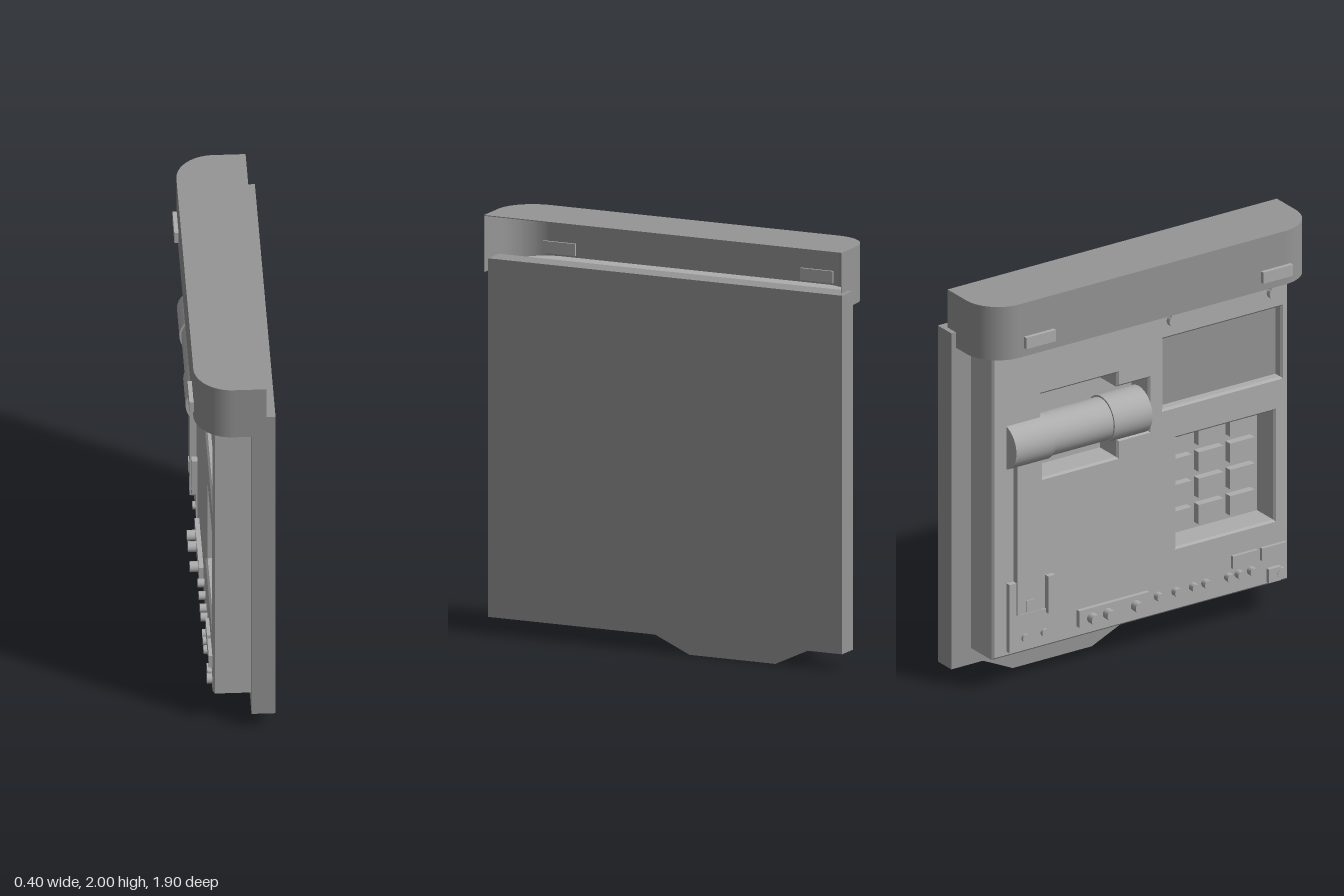
import * as THREE from 'three';

const material = (color) => new THREE.MeshStandardMaterial({ color, side: THREE.DoubleSide });
const light = material(0xadadad);
const dark = material(0x959595);

export function createModel() {
  const root = new THREE.Group();

  const add = (name, geo, x = 0, y = 0, z = 0, mat = light) => {
    const m = new THREE.Mesh(geo, mat);
    m.name = name;
    m.position.set(x, y, z);
    root.add(m);
  };
  // Box given by its limits on each axis
  const box = (name, x0, x1, y0, y1, z0, z1, mat = light) =>
    add(name, new THREE.BoxGeometry(x1 - x0, y1 - y0, z1 - z0),
      (x0 + x1) / 2, (y0 + y1) / 2, (z0 + z1) / 2, mat);
  // Round stud standing out towards -x
  const stud = (name, x0, x1, y, z, r) =>
    add(name, new THREE.CylinderGeometry(r, r, x1 - x0, 16).rotateZ(Math.PI / 2), (x0 + x1) / 2, y, z);
  const poly = (pts, Type = THREE.Shape) => new Type(pts.map(p => new THREE.Vector2(...p)));
  const rect = (z0, z1, y0, y1) => [[z0, y0], [z1, y0], [z1, y1], [z0, y1]];
  // Outline in (z, y), extruded from x towards -x
  const sideExtrude = (name, shape, x, depth, bevel, mat) =>
    add(name, new THREE.ExtrudeGeometry(shape, {
      depth, bevelEnabled: bevel > 0, bevelThickness: bevel, bevelSize: bevel,
      bevelOffset: -bevel, bevelSegments: 1,
    }).rotateY(-Math.PI / 2), x, 0, 0, mat);

  // Mounting plate with a tapered tongue at the bottom
  sideExtrude('mountingPlate', poly([[0.905, 1.805], [-0.95, 1.805], [-0.95, 0.08], [-0.77, 0.08],
    [-0.6, 0], [-0.15, 0], [0.03, 0.08], [0.905, 0.08]]), 0.2, 0.113, 0, dark);

  // Housing: pierced front over a solid back
  const front = poly(rect(-0.838, 0.846, 0.162, 1.74));
  front.holes.push(
    poly(rect(0.135, 0.805, 1.21, 1.57), THREE.Path),
    poly(rect(0.21, 0.765, 0.485, 1.045), THREE.Path),
    poly([[-0.56, 1.03], [-0.13, 1.03], [-0.13, 1.12], [0.05, 1.12], [0.05, 1.39],
      [-0.13, 1.39], [-0.13, 1.46], [-0.56, 1.46]], THREE.Path));
  sideExtrude('housingFront', front, 0.06, 0.143, 0.01, light);
  box('housingBack', 0.05, 0.09, 0.162, 1.74, -0.838, 0.846);
  box('screen', -0.045, 0.025, 1.2, 1.58, 0.125, 0.815, dark);

  // Keypad, three columns by four rows
  for (let c = 0; c < 3; c++) {
    for (let r = 0; r < 4; r++) {
      const z = 0.295 + c * 0.18, y = 0.565 + r * 0.135;
      box('key', 0.01, 0.055, y - 0.05, y + 0.05, z - 0.07, z + 0.07);
    }
  }

  // Hood: thin rounded wall open at the back, lid and inner floor
  const hoodOutline = (t, endInset = t) => {
    const xl = -0.18 + t, lo = -0.95 + endInset, hi = 0.925 - endInset, r = 0.18 - t;
    const s = new THREE.Shape();
    s.moveTo(0.155, hi);
    s.lineTo(xl + r, hi);
    s.absarc(xl + r, hi - r, r, Math.PI / 2, Math.PI, false);
    s.lineTo(xl, lo + r);
    s.absarc(xl + r, lo + r, r, Math.PI, Math.PI * 1.5, false);
    s.lineTo(0.155, lo);
    return s;
  };
  const upExtrude = (name, shape, y, depth, mat) =>
    add(name, new THREE.ExtrudeGeometry(shape, { depth, bevelEnabled: false })
      .rotateX(-Math.PI / 2), 0, y, 0, mat);
  const wall = new THREE.Shape([...hoodOutline(0).getPoints(12), ...hoodOutline(0.004).getPoints(12).reverse()]);
  upExtrude('hoodWall', wall, 1.726, 0.27, dark);
  upExtrude('hoodLid', hoodOutline(0), 1.996, 0.004, dark);
  upExtrude('hoodFloor', hoodOutline(0.004, 0.07), 1.74, 0.02, light);
  box('hoodFloorSlot', -0.05, -0.03, 1.755, 1.768, -0.62, 0.08, dark);
  for (const [z0, z1] of [[-0.72, -0.55], [0.63, 0.8]])
    box('hoodTab', -0.2, -0.165, 1.77, 1.828, z0, z1);

  // Handset lying across its pocket
  const bar = (name, r, z0, z1) =>
    add(name, new THREE.CylinderGeometry(r, r, z1 - z0, 32).rotateX(Math.PI / 2), -0.062, 1.235, (z0 + z1) / 2);
  bar('handsetCup', 0.115, -0.76, -0.54);
  bar('handsetGrip', 0.106, -0.54, -0.2);
  bar('handsetCup', 0.115, -0.2, 0.015);

  // Cord cover and its lower bracket
  box('cordCover', -0.125, -0.08, 0.375, 1.17, -0.72, -0.58);
  box('bracketPost', -0.12, -0.08, 0.19, 0.54, -0.76, -0.7);
  box('bracketPost', -0.12, -0.08, 0.34, 0.53, -0.54, -0.5);
  box('bracketTab', -0.13, -0.08, 0.38, 0.44, -0.67, -0.62);
  box('bracketBase', -0.1, -0.08, 0.19, 0.36, -0.7, -0.5);
  for (const z of [-0.66, -0.55]) stud('bracketScrew', -0.115, -0.08, 0.24, z, 0.02);

  // Control strip with knobs
  box('controlStrip', -0.115, -0.08, 0.22, 0.305, -0.36, 0.04);
  for (const z of [-0.29, -0.2, -0.04]) stud('knob', -0.155, -0.08, 0.256, z, 0.026);
  for (const z of [0.1, 0.2, 0.3, 0.37, 0.5, 0.56, 0.63]) stud('smallButton', -0.125, -0.08, 0.262, z, 0.021);
  for (const z of [0.59, 0.755]) box('label', -0.11, -0.08, 0.3, 0.365, z - 0.07, z + 0.07);

  // Corner catch and small hinges below the hood
  box('cornerCatch', -0.115, -0.08, 0.18, 0.25, 0.72, 0.79);
  stud('cornerStud', -0.118, -0.08, 0.215, 0.795, 0.026);
  for (const z of [0.18, 0.75]) {
    box('hingeBlock', -0.13, -0.08, 1.69, 1.74, z - 0.025, z + 0.025);
    stud('hingePin', -0.118, -0.08, 1.66, z, 0.028);
  }
  return root;
}
